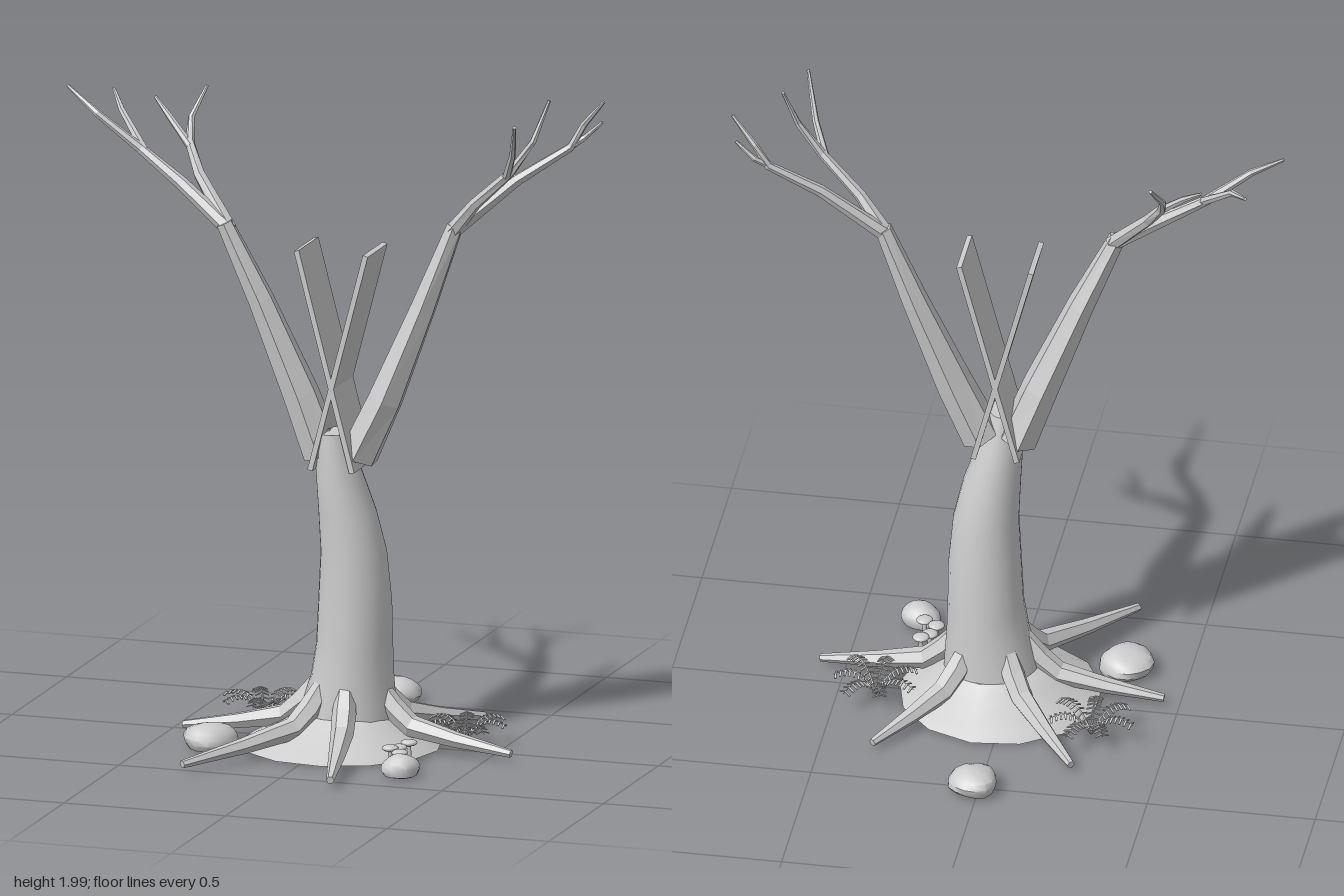
import * as THREE from 'three';
import { mergeGeometries, toCreasedNormals } from 'three/addons/utils/BufferGeometryUtils.js';

const grey = new THREE.MeshStandardMaterial({ color: 0xcccccc });
grey.name = 'pale grey';

const V = (x, y, z) => new THREE.Vector3(x, y, z);

// Tapered limb: rings of [x, y, z, half width, half height] swept along their centres
function sweep(rings, sides, ref = V(0, 1, 0), fixedDir = null) {
  const pts = rings.map(r => V(r[0], r[1], r[2]));
  const pos = [], idx = [], n = rings.length;
  pts.forEach((p, i) => {
    const t = fixedDir ? fixedDir.clone()
      : pts[Math.min(i + 1, n - 1)].clone().sub(pts[Math.max(i - 1, 0)]).normalize();
    const side = ref.clone().cross(t).normalize();
    const up = t.clone().cross(side);
    const w = rings[i][3], h = rings[i][4] ?? w;
    for (let j = 0; j < sides; j++) {
      const a = j / sides * Math.PI * 2;
      const q = p.clone().addScaledVector(side, Math.cos(a) * w).addScaledVector(up, Math.sin(a) * h);
      pos.push(q.x, q.y, q.z);
    }
  });
  for (let i = 0; i < n - 1; i++) {
    for (let j = 0; j < sides; j++) {
      const k = (j + 1) % sides;
      const a = i * sides + j, b = i * sides + k, c = b + sides, d = a + sides;
      idx.push(a, b, c, a, c, d);
    }
  }
  const last = (n - 1) * sides;
  for (let j = 1; j < sides - 1; j++) idx.push(0, j + 1, j, last, last + j, last + j + 1);
  const g = new THREE.BufferGeometry();
  g.setAttribute('position', new THREE.Float32BufferAttribute(pos, 3));
  g.setIndex(idx);
  return g;
}

function flat(g) {
  const f = g.index ? g.toNonIndexed() : g;
  f.computeVertexNormals();
  return f;
}

function add(parent, name, geometry) {
  const m = new THREE.Mesh(geometry, grey);
  m.name = name;
  parent.add(m);
  return m;
}

// Lumpy stone with a flattened underside
function rock(x, z, y, rx, ry, rz, seed) {
  const g = new THREE.SphereGeometry(1, 14, 9);
  const p = g.attributes.position, v = V(0, 0, 0);
  for (let i = 0; i < p.count; i++) {
    v.fromBufferAttribute(p, i);
    const k = 1 + 0.07 * Math.sin(v.x * 3 + seed) * Math.cos(v.z * 3.3 - seed) + 0.04 * Math.sin(v.y * 4 + v.x * 2 + seed);
    p.setXYZ(i, x + v.x * k * rx, y + Math.max(v.y * k, -0.6) * ry, z + v.z * k * rz);
  }
  g.deleteAttribute('uv');
  return toCreasedNormals(g, 0.7);
}

// Fern: arching fronds lined with pairs of leaflets
function fern(x, z, turn) {
  const parts = [];
  const fronds = 7;
  for (let f = 0; f < fronds; f++) {
    const a = turn + f / fronds * Math.PI * 2;
    const len = 0.125 + 0.012 * Math.sin(f * 2.3);
    const curve = new THREE.QuadraticBezierCurve3(V(0, 0.02, 0), V(len * 0.45, 0.125, 0), V(len, 0.075, 0));
    const rings = curve.getPoints(7).map((p, i) => [p.x, p.y, p.z, 0.004 - i * 0.0004]);
    const local = [flat(sweep(rings, 4))];
    for (let i = 2; i <= 9; i++) {
      const p = curve.getPoint(i / 9.5);
      for (const s of [-1, 1]) {
        const leaf = new THREE.BoxGeometry(0.006, 0.003, 0.02);
        leaf.deleteAttribute('uv');
        leaf.rotateX(s * 0.35);
        leaf.translate(p.x, p.y - 0.003, s * 0.011);
        local.push(leaf.toNonIndexed());
      }
    }
    const g = mergeGeometries(local);
    g.rotateY(a);
    parts.push(g);
  }
  const g = mergeGeometries(parts);
  g.translate(x, 0, z);
  return g;
}

export function createModel() {
  const tree = new THREE.Group();
  tree.name = 'bareTree';

  // Earth mound
  const mound = sweep([[0.03, 0.01, 0.035, 0.3], [0.035, 0.035, 0.035, 0.26], [0.045, 0.075, 0.04, 0.19], [0.05, 0.11, 0.04, 0.14]],
    13, V(0, 0, -1), V(0, 1, 0));
  add(tree, 'mound', toCreasedNormals(mound, 0.6));

  // Leaning smooth trunk
  const trunkPath = [
    [0.055, 0.05, 0.04, 0.145, 0.14], [0.058, 0.14, 0.04, 0.138, 0.132], [0.068, 0.22, 0.04, 0.122, 0.125],
    [0.075, 0.32, 0.042, 0.112, 0.12], [0.078, 0.45, 0.046, 0.108, 0.112], [0.076, 0.6, 0.053, 0.097, 0.102],
    [0.06, 0.72, 0.063, 0.085, 0.091], [0.037, 0.84, 0.073, 0.067, 0.077], [0.024, 0.96, 0.082, 0.046, 0.058]];
  add(tree, 'trunk', toCreasedNormals(sweep(trunkPath, 24, V(0, 0, -1), V(0, 1, 0)), 0.8));

  // Spreading roots, from trunk to each tip
  const tips = [[-0.25, -0.365], [0.345, -0.345], [0.575, 0.09], [0.18, 0.575], [-0.295, 0.525], [-0.455, 0.045]];
  const roots = new THREE.Group();
  roots.name = 'roots';
  tree.add(roots);
  const cx = 0.058, cz = 0.045;
  tips.forEach(([tx, tz], i) => {
    const d = Math.hypot(tx - cx, tz - cz), ux = (tx - cx) / d, uz = (tz - cz) / d;
    const at = (r, y, w, h) => [cx + ux * r, y, cz + uz * r, w, h];
    const path = [at(0.09, 0.2, 0.028, 0.03), at(0.14, 0.135, 0.036, 0.036), at(0.2, 0.085, 0.034, 0.034),
      at(0.2 + (d - 0.2) * 0.45, 0.057, 0.025, 0.024), at(d, 0.032, 0.012, 0.012)];
    add(roots, 'root' + (i + 1), flat(sweep(path, 6)));
  });

  // Two crossed flat slabs in the fork
  for (const s of [-1, 1]) {
    const slab = add(tree, s < 0 ? 'rightSlab' : 'leftSlab', new THREE.BoxGeometry(0.016, 0.68, 0.18));
    slab.position.set(0.034 + s * 0.021, 1.18, 0.05);
    slab.rotation.z = -s * 0.255;
  }

  // Main boughs and their forking branches
  const limbs = {
    leftBough: [[0.09, 0.885, 0.05, 0.08, 0.06], [0.17, 1.06, 0.042, 0.072, 0.055], [0.28, 1.34, 0.02, 0.05, 0.04], [0.375, 1.59, 0.01, 0.028, 0.026]],
    leftOuterBranch: [[0.365, 1.57, 0.01, 0.024], [0.55, 1.73, -0.04, 0.018], [0.7, 1.83, -0.085, 0.013], [0.74, 1.9, -0.09, 0.01], [0.81, 1.98, -0.065, 0.005]],
    leftOuterTwig: [[0.69, 1.825, -0.08, 0.012], [0.74, 1.86, -0.1, 0.009], [0.795, 1.91, -0.095, 0.005]],
    leftInnerBranch: [[0.365, 1.57, 0.01, 0.024], [0.45, 1.67, 0.05, 0.018], [0.57, 1.78, 0.085, 0.014], [0.64, 1.88, 0.08, 0.01], [0.68, 2.0, 0.05, 0.005]],
    leftInnerTwig: [[0.56, 1.77, 0.085, 0.013], [0.6, 1.85, 0.15, 0.01], [0.64, 1.96, 0.25, 0.005]],
    rightBough: [[-0.02, 0.885, 0.05, 0.08, 0.06], [-0.085, 1.06, 0.06, 0.072, 0.055], [-0.2, 1.34, 0.085, 0.05, 0.04], [-0.305, 1.57, 0.11, 0.028, 0.026]],
    rightOuterBranch: [[-0.29, 1.55, 0.108, 0.024], [-0.45, 1.67, 0.075, 0.02], [-0.58, 1.76, 0.06, 0.015], [-0.71, 1.86, 0.075, 0.011], [-0.81, 1.93, 0.05, 0.005]],
    rightOuterTwig: [[-0.57, 1.755, 0.06, 0.014], [-0.67, 1.85, -0.03, 0.01], [-0.725, 1.89, -0.12, 0.005]],
    rightInnerBranch: [[-0.29, 1.55, 0.108, 0.024], [-0.41, 1.69, 0.03, 0.018], [-0.46, 1.77, -0.03, 0.014], [-0.475, 1.83, -0.09, 0.01], [-0.45, 1.91, -0.16, 0.005]],
    rightInnerTwig: [[-0.455, 1.76, -0.02, 0.013], [-0.53, 1.83, -0.06, 0.01], [-0.59, 1.88, -0.1, 0.005]],
  };
  for (const [name, rings] of Object.entries(limbs)) add(tree, name, flat(sweep(rings, 6)));

  // Stones
  add(tree, 'backStone', rock(0.015, -0.515, 0.04, 0.075, 0.046, 0.073, 0.5));
  add(tree, 'rightStone', rock(-0.315, 0.21, 0.038, 0.08, 0.05, 0.08, 2));
  add(tree, 'frontStone', rock(0.325, 0.365, 0.033, 0.06, 0.04, 0.055, 4));

  // Ferns
  add(tree, 'rightFern', fern(-0.275, -0.165, 0.25));
  add(tree, 'leftFern', fern(0.385, -0.055, 0.05));

  // Small mushrooms
  const spots = [[0.295, 0.195, 0.068], [0.275, 0.23, 0.06], [0.262, 0.27, 0.066], [0.302, 0.3, 0.062]];
  spots.forEach(([x, z, y], i) => {
    const m = new THREE.Group();
    m.name = 'mushroom' + (i + 1);
    m.position.set(x, 0, z);
    const cap = add(m, 'cap', new THREE.SphereGeometry(0.025, 14, 8));
    cap.scale.y = 0.4;
    cap.position.y = y;
    const stem = add(m, 'stem', new THREE.CylinderGeometry(0.006, 0.008, y - 0.012, 8));
    stem.position.y = (y + 0.012) / 2;
    tree.add(m);
  });

  return tree;
}
